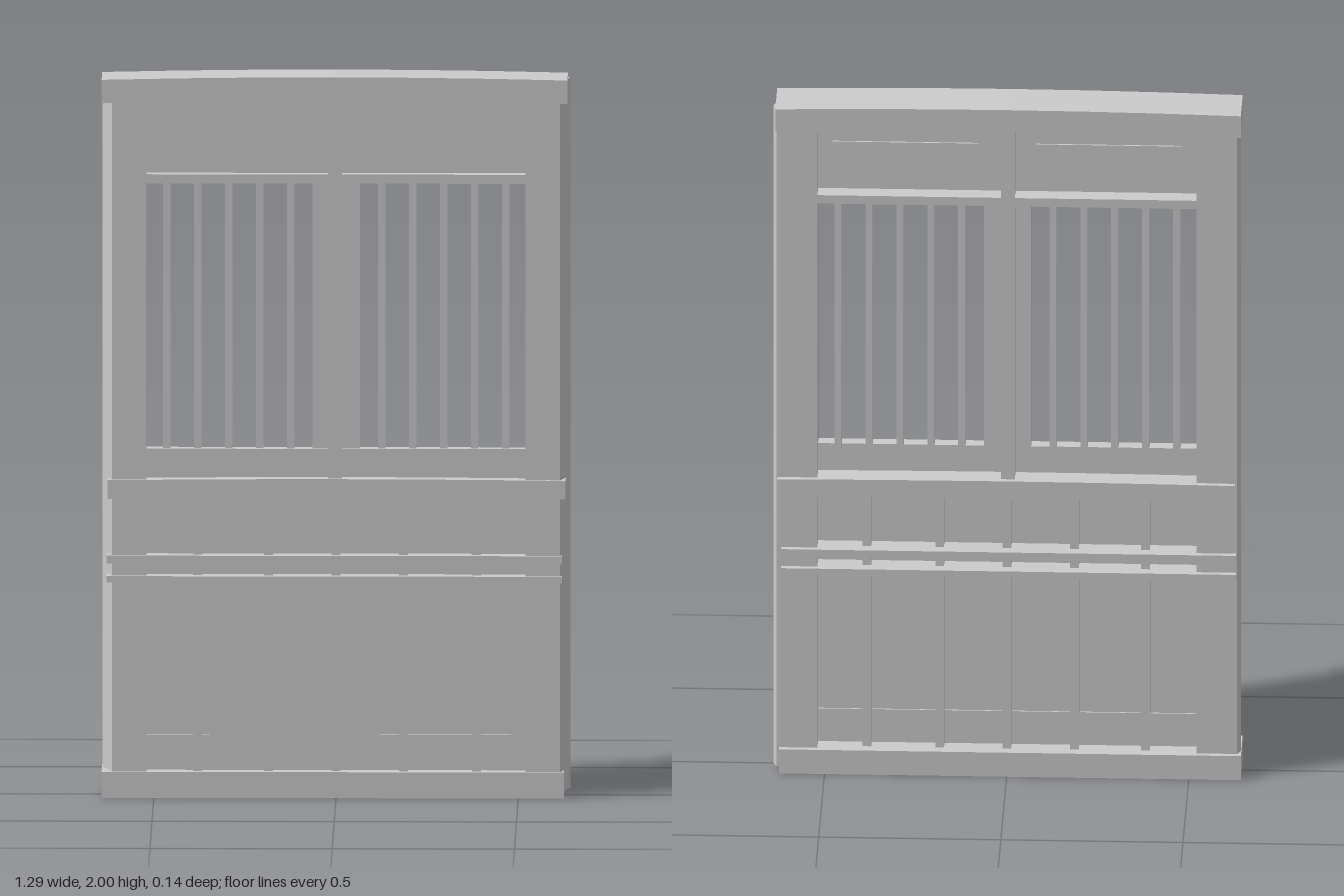
import * as THREE from 'three';

const mat = new THREE.MeshStandardMaterial({ color: 0xcccccc, flatShading: true });

export function createModel() {
  const group = new THREE.Group();

  // Box given by its limits; bow lowers the ends for a hand-hewn look
  function beam(name, x0, x1, y0, y1, z0, z1, bow = 0) {
    const geo = new THREE.BoxGeometry(x1 - x0, y1 - y0, z1 - z0, bow ? 6 : 1, 1, 1);
    geo.translate((x0 + x1) / 2, (y0 + y1) / 2, (z0 + z1) / 2);
    const p = geo.attributes.position;
    for (let i = 0; i < p.count; i++) {
      p.setY(i, p.getY(i) - bow * (p.getX(i) / 0.64) ** 2);
    }
    geo.computeVertexNormals();
    const mesh = new THREE.Mesh(geo, mat);
    mesh.name = name;
    group.add(mesh);
    return mesh;
  }

  // Side posts: plan outline with a slanted outer face, extruded upwards
  for (const side of [-1, 1]) {
    const plan = [[0.52, 0.06], [0.615, 0.06], [0.642, -0.035], [0.632, -0.055], [0.52, -0.055]];
    const shape = new THREE.Shape(plan.map(([x, z]) => new THREE.Vector2(side * x, -z)));
    const geo = new THREE.ExtrudeGeometry(shape, { depth: 1.97, bevelEnabled: false });
    geo.rotateX(-Math.PI / 2);
    geo.translate(0, 0.015, 0);
    const post = new THREE.Mesh(geo, mat);
    post.name = side > 0 ? 'leftPost' : 'rightPost';
    group.add(post);
  }

  // Main horizontal rails
  beam('topRail', -0.643, 0.635, 1.935, 2.0, -0.075, 0.07, 0.008);
  beam('middleRail', -0.627, 0.63, 0.833, 0.885, -0.07, 0.07, 0.004);
  beam('bottomRail', -0.643, 0.625, 0, 0.072, -0.07, 0.07);

  // Lower panel, kick board, battens and paired slats
  beam('lowerPanel', -0.53, 0.53, 0.05, 0.85, -0.005, 0.025);
  beam('kickBoard', -0.53, 0.53, 0.05, 0.17, -0.009, 0.029);
  for (const x of [-0.38, -0.185, 0, 0.185, 0.385]) {
    beam('batten', x - 0.012, x + 0.012, 0.06, 0.84, -0.04, 0.05);
  }
  beam('lowerSlat', -0.63, 0.62, 0.597, 0.615, -0.07, 0.07);
  beam('upperSlat', -0.63, 0.62, 0.65, 0.672, -0.07, 0.07);

  // Centre post, transom, lintel boards and window sills
  beam('centrePost', -0.022, 0.016, 0.88, 1.94, -0.055, 0.055);
  beam('transom', -0.545, 0.545, 1.703, 1.728, -0.055, 0.055);
  beam('lintelPanel', -0.53, 0.53, 1.7, 1.94, -0.005, 0.025);
  beam('windowSill', -0.53, 0.53, 0.87, 0.963, -0.005, 0.03);

  // Window bars, inner jambs and the raised board behind each lintel
  for (const side of [-1, 1]) {
    const a = side * 0.01, b = side * 0.065;
    beam('jamb', Math.min(a, b), Math.max(a, b), 0.95, 1.71, -0.005, 0.025);
    for (let i = 0; i < 5; i++) {
      const x = side * (0.125 + i * 0.085);
      beam('windowBar', x - 0.01, x + 0.01, 0.95, 1.71, -0.012, 0.02);
    }
    const m = side * 0.28;
    beam('lintelBoard', m - 0.2, m + 0.2, 1.76, 1.87, -0.01, 0);
  }
  return group;
}
